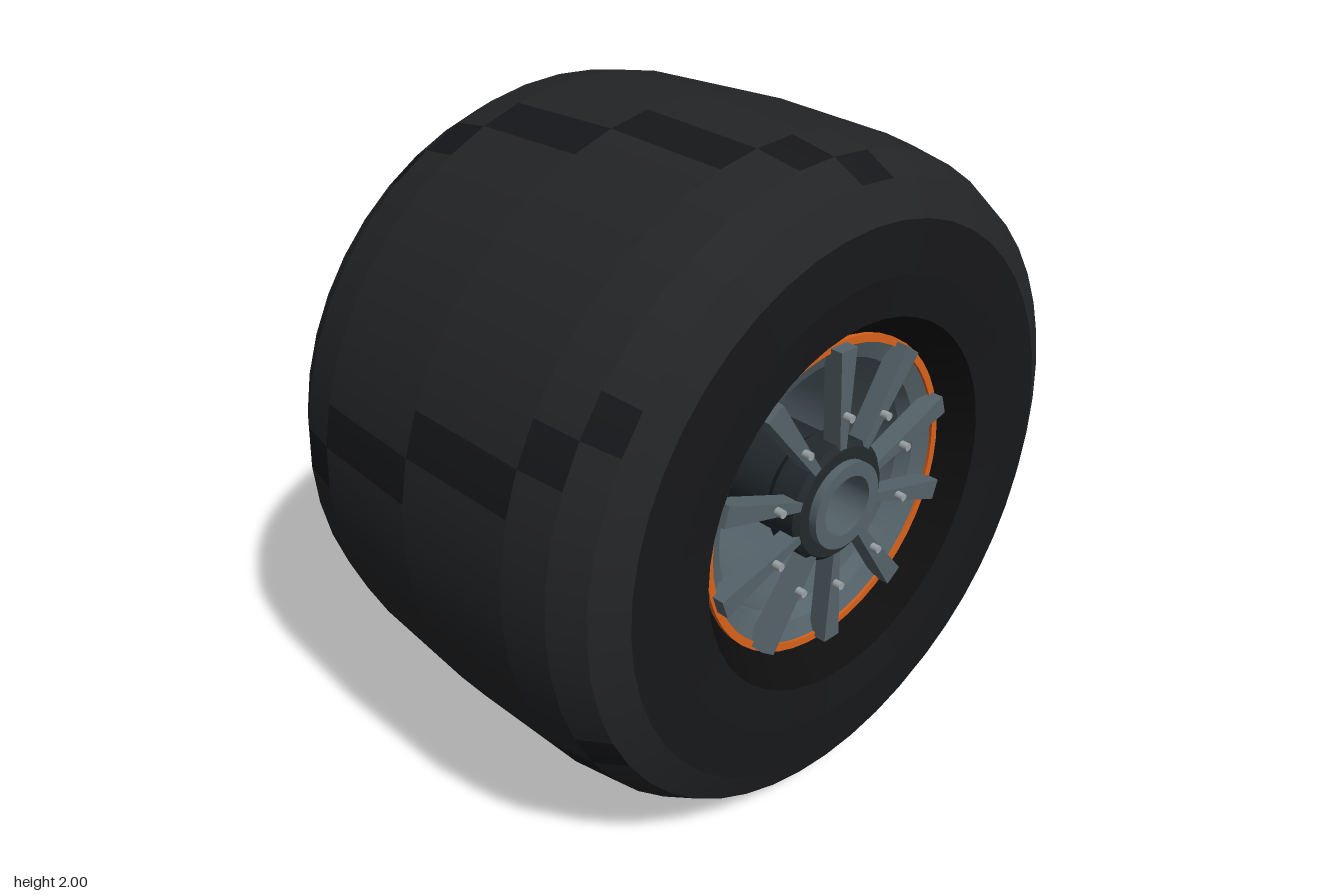
import * as THREE from 'three';
import { mergeGeometries } from 'three/addons/utils/BufferGeometryUtils.js';

const SEGS = 48, STEP = (Math.PI * 2) / SEGS;

const paint = (color) => new THREE.MeshStandardMaterial({ color });
const mats = {
  tread: paint(0x232426), patch: paint(0x16171a), wall: paint(0x17181a), bead: paint(0x0e0e0f),
  metal: paint(0x55636a), hub: paint(0x22282c), orange: paint(0xd8611a), bolt: paint(0x9aa3a6),
};

// One sharp-edged band per pair of [radius, along] points, smooth around the axis
function bands(points, start = 0, count = SEGS) {
  const parts = [];
  for (let i = 0; i < points.length - 1; i++) {
    const pair = [points[i], points[i + 1]].map(([r, a]) => new THREE.Vector2(r, a));
    parts.push(new THREE.LatheGeometry(pair, count, start, count * STEP));
  }
  return mergeGeometries(parts);
}

function add(parent, name, geometry, material) {
  const mesh = new THREE.Mesh(geometry, material);
  mesh.name = name;
  parent.add(mesh);
  return mesh;
}

// Tread with a stepped diagonal row of dark blocks, repeated every eight segments
function addTread(wheel) {
  const profile = [[0.91, -0.635], [0.96, -0.54], [0.985, -0.4], [1, 0], [0.985, 0.4], [0.96, 0.54], [0.91, 0.635]];
  const plain = [], dark = [];
  for (let c = 0; c < 6; c++) {
    const strip = [profile[c], profile[c + 1]];
    for (let k = 0; k < 6; k++) {
      const start = -(c + 8 * k) * STEP;
      dark.push(bands(strip, start, 1));
      plain.push(bands(strip, start + STEP, 7));
    }
  }
  add(wheel, 'tread', mergeGeometries(plain), mats.tread);
  add(wheel, 'treadBlocks', mergeGeometries(dark), mats.patch);
}

// Tapered bar pointing along z, wide at the rim and narrow at the hub
function spokeGeometry() {
  const inner = 0.16, outer = 0.465;
  const g = new THREE.BoxGeometry(1, 0.06, outer - inner);
  const p = g.attributes.position;
  for (let i = 0; i < p.count; i++) {
    const out = p.getZ(i) > 0;
    p.setX(i, p.getX(i) * (out ? 0.062 : 0.026));
    p.setZ(i, out ? outer : inner);
  }
  g.computeVertexNormals();
  return g;
}

// Everything on one face of the wheel, facing +y before the wheel is turned
function makeFace() {
  const face = new THREE.Group();
  add(face, 'shoulder', bands([[0.91, 0.635], [0.815, 0.685]]), mats.tread);
  add(face, 'sidewall', bands([[0.815, 0.685], [0.67, 0.69], [0.55, 0.675]]), mats.wall);
  add(face, 'bead', bands([[0.55, 0.675], [0.475, 0.575]]), mats.bead);
  add(face, 'rimStripe', bands([[0.475, 0.57], [0.475, 0.59], [0.452, 0.59], [0.452, 0.57]]), mats.orange);
  add(face, 'rimLip', bands([[0.454, 0.582], [0.40, 0.56], [0.38, 0.52]]), mats.metal);
  add(face, 'hubCollar', bands([[0.155, 0.5], [0.18, 0.53], [0.18, 0.615], [0.165, 0.63], [0.12, 0.63]]), mats.hub);
  add(face, 'hubRing', bands([[0.13, 0.6], [0.13, 0.655], [0.09, 0.655], [0.09, 0.5]]), mats.metal);

  const spoke = spokeGeometry();
  const bolt = new THREE.CylinderGeometry(0.012, 0.012, 0.04, 10);
  for (let i = 0; i < 10; i++) {
    const arm = new THREE.Group();
    arm.name = 'spokeArm';
    arm.rotation.y = Math.PI / 2 + (i * Math.PI) / 5;
    add(arm, 'spoke', spoke, mats.metal).position.y = 0.598;
    add(arm, 'bolt', bolt, mats.bolt).position.set(0, 0.633, 0.27);
    face.add(arm);
  }
  return face;
}

export function createModel() {
  const model = new THREE.Group();
  model.name = 'wheel';
  const wheel = new THREE.Group();
  wheel.name = 'wheelAssembly';

  addTread(wheel);

  // Open barrel and hollow axle tube running through the wheel
  add(wheel, 'rimBarrel', bands([[0.38, 0.52], [0.38, -0.52]]), mats.metal);
  add(wheel, 'axleTube', bands([[0.155, -0.5], [0.155, 0.5]]), mats.hub);
  add(wheel, 'axleBore', bands([[0.09, 0.5], [0.09, -0.5]]), mats.hub);

  for (const side of [1, -1]) {
    const face = makeFace();
    face.name = side > 0 ? 'leftFace' : 'rightFace';
    if (side < 0) face.rotation.x = Math.PI;
    wheel.add(face);
  }

  // Lay the axle along x and stand the tyre on the floor
  wheel.rotation.z = -Math.PI / 2;
  wheel.position.y = 1;
  model.add(wheel);
  return model;
}
